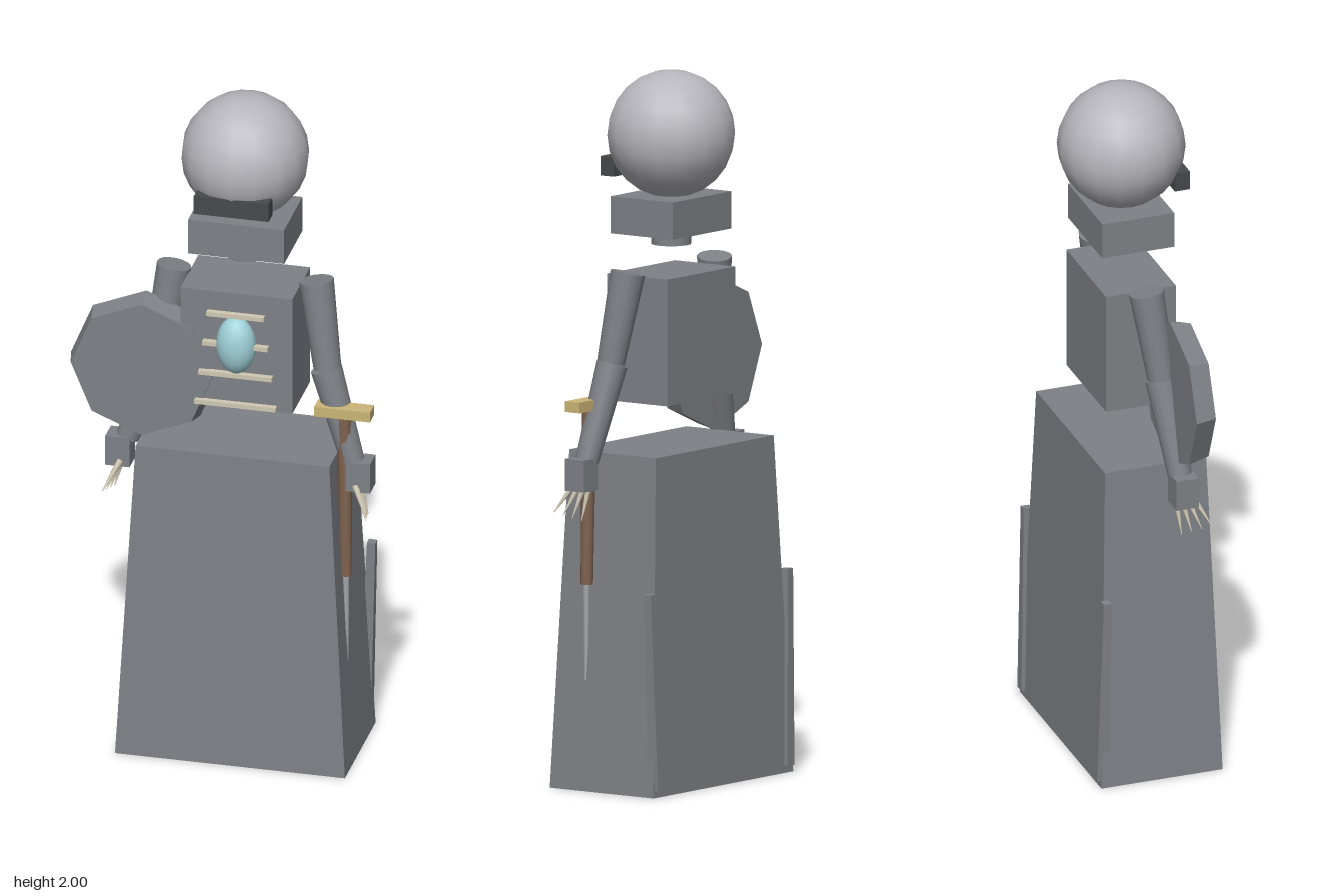
import * as THREE from 'three';

const mat = (name, color, flatShading = false) => {
  const m = new THREE.MeshStandardMaterial({ color, flatShading });
  m.name = name;
  return m;
};

export function createModel() {
  const grey = mat('grey', 0x7e8186);
  const paleGrey = mat('paleGrey', 0xb6b6bc);
  const dark = mat('dark', 0x47494c);
  const bone = mat('bone', 0xd0c8b4);
  const blue = mat('blue', 0x9fd0d8);
  const brown = mat('brown', 0x806450);
  const gold = mat('gold', 0xcbb577);
  const steel = mat('steel', 0xa8aaae);

  // everything is laid out around the body's own axis, then shifted
  const model = new THREE.Group();
  const body = new THREE.Group();
  body.name = 'body';
  body.position.x = 0.055;
  model.add(body);

  const add = (name, geo, material, x, y, z) => {
    const m = new THREE.Mesh(geo, material);
    m.name = name;
    m.position.set(x, y, z);
    body.add(m);
    return m;
  };
  const box = (name, material, w, h, d, x, y, z) =>
    add(name, new THREE.BoxGeometry(w, h, d), material, x, y, z);

  // tapered rod between two points, r0 at a and r1 at b
  const rod = (name, material, a, b, r0, r1, sides = 16) => {
    const p = new THREE.Vector3(...a), q = new THREE.Vector3(...b);
    const dir = q.clone().sub(p);
    const m = add(name, new THREE.CylinderGeometry(r1, r0, dir.length(), sides), material, 0, 0, 0);
    m.position.copy(p).add(q).multiplyScalar(0.5);
    m.quaternion.setFromUnitVectors(new THREE.Vector3(0, 1, 0), dir.normalize());
    return m;
  };

  // robe: rectangular block, narrower at the top
  const robe = new THREE.BoxGeometry(0.66, 0.95, 0.36);
  const pos = robe.attributes.position;
  for (let i = 0; i < pos.count; i++) {
    if (pos.getY(i) > 0) {
      pos.setX(i, pos.getX(i) * 0.843);
      pos.setZ(i, pos.getZ(i) * 0.835);
    }
  }
  robe.computeVertexNormals();
  add('robe', robe, grey, 0, 0.475, 0);

  // torso with ribs and gem
  box('torso', grey, 0.321, 0.357, 0.208, 0, 1.257, 0);
  for (let i = 0; i < 4; i++) {
    box('rib', bone, 0.165 + i * 0.023, 0.013, 0.018, 0, 1.37 - i * 0.0925, 0.112);
  }
  const gem = add('chestGem', new THREE.SphereGeometry(1, 16, 12), blue, 0, 1.277, 0.105);
  gem.scale.set(0.057, 0.087, 0.05);

  // head
  add('neck', new THREE.CylinderGeometry(0.056, 0.056, 0.08, 16), grey, 0, 1.55, 0);
  box('jaw', grey, 0.276, 0.105, 0.214, 0, 1.598, 0);
  add('head', new THREE.SphereGeometry(0.18, 16, 12), paleGrey, 0, 1.82, 0);
  box('visor', dark, 0.215, 0.055, 0.045, 0, 1.728, 0.1425);

  for (const s of [1, -1]) {
    // arm and hand
    rod('upperArm', grey, [s * 0.204, 1.452, 0], [s * 0.243, 1.2, 0.03], 0.049, 0.039);
    rod('lowerArm', grey, [s * 0.24, 1.195, 0.03], [s * 0.322, 0.93, 0.056], 0.045, 0.034);
    box('hand', grey, 0.07, 0.09, 0.066, s * 0.345, 0.895, 0.058);
    // claws fan out forwards
    for (let i = 0; i < 4; i++) {
      rod('claw', bone, [s * 0.337, 0.868, 0.038 + i * 0.016],
        [s * (0.364 + i * 0.005), 0.765 + i * 0.007, 0.046 + i * 0.028], 0.01, 0.001, 8);
    }
    // slender spar leaning out at the rear corner of the robe
    const spar = rod('rearSpar', grey, [s * 0.305, 0.02, -0.173],
      [s * 0.324, 0.572, -0.163], 0.024, 0.017, 4);
    spar.geometry = spar.geometry.toNonIndexed();
    spar.geometry.rotateY(Math.PI / 4);
    spar.geometry.computeVertexNormals();
  }

  // octagonal shield, narrower at the front
  const shieldGeo = new THREE.CylinderGeometry(0.203, 0.218, 0.062, 8).toNonIndexed();
  shieldGeo.computeVertexNormals();
  shieldGeo.rotateX(Math.PI / 2);
  add('shield', shieldGeo, grey, -0.272, 1.166, 0.076);

  // sword pointing down
  box('swordGuard', gold, 0.16, 0.03, 0.05, 0.3, 1.087, 0.066);
  rod('swordGrip', brown, [0.3, 1.072, 0.066], [0.306, 0.58, 0.07], 0.021, 0.018, 8);
  rod('swordTip', steel, [0.306, 0.58, 0.07], [0.308, 0.31, 0.07], 0.01, 0.006, 6);

  return model;
}
